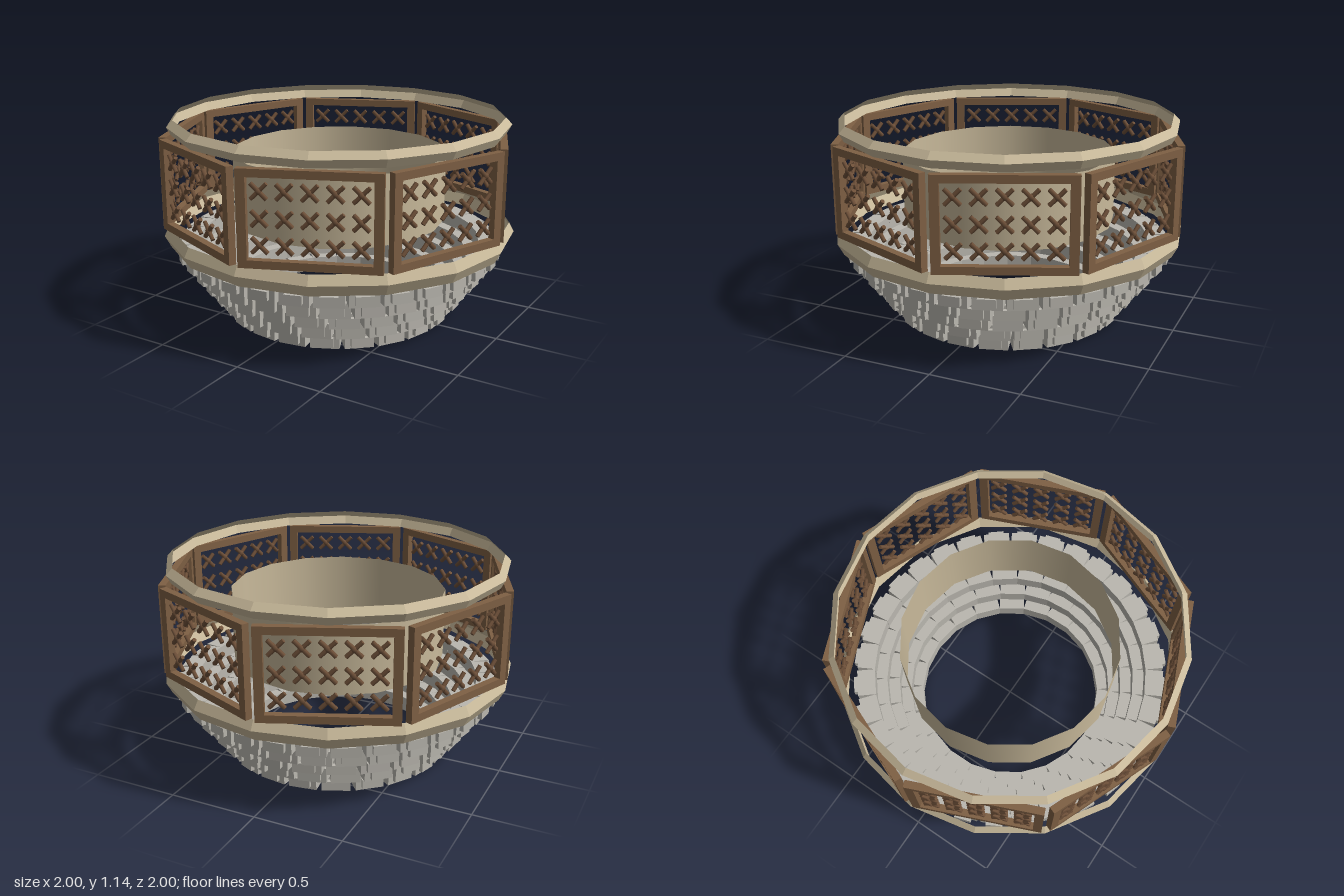
import * as THREE from 'three';
import { mergeGeometries } from 'three/addons/utils/BufferGeometryUtils.js';

const stone = new THREE.MeshStandardMaterial({ color: 0xbab7af });
stone.name = 'grey stone';
const plaster = new THREE.MeshStandardMaterial({ color: 0xc9ba9b, side: THREE.DoubleSide });
plaster.name = 'sand plaster';
const frameWood = new THREE.MeshStandardMaterial({ color: 0x7f6044 });
frameWood.name = 'frame wood';
const latticeWood = new THREE.MeshStandardMaterial({ color: 0x6e5039 });
latticeWood.name = 'lattice wood';

function add(parent, name, geometry, material) {
  const mesh = new THREE.Mesh(geometry, material);
  mesh.name = name;
  parent.add(mesh);
  return mesh;
}

function box(w, h, d, x, y, z) {
  return new THREE.BoxGeometry(w, h, d).translate(x, y, z);
}

// Sixteen-sided band from [radius, height] points, with flat facets
function band(points) {
  const profile = points.map(([r, y]) => new THREE.Vector2(r, y));
  const g = new THREE.LatheGeometry(profile, 16).toNonIndexed();
  g.computeVertexNormals();
  return g;
}

// One ring of stone blocks, each with a raised face
function blockRow(count, inner, y, height) {
  const depth = 0.105, parts = [];
  for (let i = 0; i < count; i++) {
    const angle = ((i + 0.5) / count) * Math.PI * 2;
    const block = box(0.157, height, depth, 0, y + height / 2, inner + depth / 2);
    const face = box(0.095, 0.05, 0.024, 0, y + height / 2, inner + depth + 0.012);
    parts.push(block.rotateY(angle), face.rotateY(angle));
  }
  return mergeGeometries(parts);
}

// Square timber frame of one railing panel
function frameGeometry(w, bottom, top) {
  const t = 0.048, d = 0.04, mid = (bottom + top) / 2;
  const parts = [];
  for (const s of [-1, 1]) {
    parts.push(box(t, top - bottom, d, s * (w - t) / 2, mid, 0));
    parts.push(box(w - 2 * t, 0.042, d, 0, mid + s * (top - bottom - 0.042) / 2, 0));
  }
  return mergeGeometries(parts);
}

// Three rows of five small crosses
function latticeGeometry() {
  const parts = [];
  for (const y of [0.66, 0.797, 0.935]) {
    for (let i = -2; i <= 2; i++) {
      for (const s of [-1, 1]) {
        parts.push(new THREE.CylinderGeometry(0.012, 0.012, 0.112, 6)
          .rotateZ(s * Math.PI / 4).translate(i * 0.125, y, 0));
      }
      parts.push(new THREE.SphereGeometry(0.019, 6, 4).translate(i * 0.125, y, 0));
    }
  }
  return mergeGeometries(parts);
}

export function createModel() {
  const model = new THREE.Group();
  model.name = 'balcony';

  // Corbelled stone base, widening upward
  const base = new THREE.Group();
  base.name = 'stoneBase';
  model.add(base);
  [22, 25, 27, 30, 32].forEach((count, k) => {
    add(base, `blockRow${k + 1}`, blockRow(count, 0.54 + 0.065 * k, 0.086 * k, 0.086), stone);
  });

  // Thin moulded rings below and above the railing
  add(model, 'lowerCornice', band([[0.967, 0.43], [1, 0.493], [0.972, 0.545]]), plaster);
  add(model, 'upperRing', band([[0.935, 1.062], [0.96, 1.108], [0.925, 1.145]]), plaster);

  // Open central drum
  add(model, 'drum', new THREE.CylinderGeometry(0.605, 0.605, 0.39, 16, 1, true)
    .translate(0, 0.74, 0), plaster);

  // Eight lattice panels
  const frame = frameGeometry(0.72, 0.545, 1.05);
  const lattice = latticeGeometry();
  for (let i = 0; i < 8; i++) {
    const panel = new THREE.Group();
    panel.name = `railingPanel${i + 1}`;
    panel.rotation.y = ((i + 0.5) * Math.PI) / 4;
    add(panel, 'frame', frame, frameWood).position.z = 0.915;
    add(panel, 'lattice', lattice, latticeWood).position.z = 0.915;
    model.add(panel);
  }
  return model;
}
